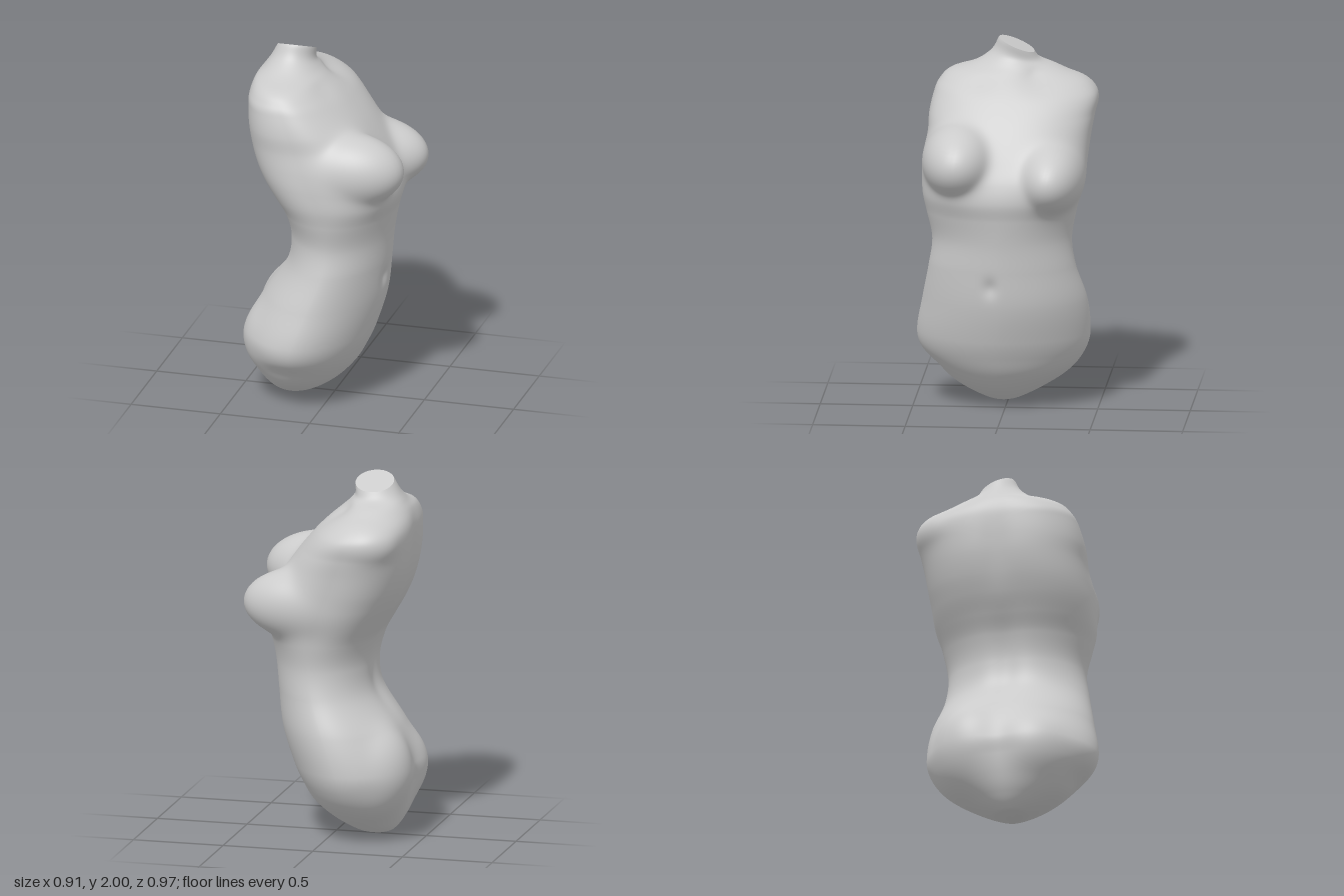
import * as THREE from 'three';

// Torso cross-sections: height, back x, front x, right-hand z, left-hand z
const SECTIONS = [
  [0, -0.25, -0.19, 0.04, 0.0],
  [0.02, -0.31, -0.11, 0.12, -0.07],
  [0.1, -0.375, 0.02, 0.26, -0.21],
  [0.2, -0.42, 0.12, 0.375, -0.345],
  [0.3, -0.445, 0.18, 0.46, -0.42],
  [0.4, -0.45, 0.225, 0.485, -0.45],
  [0.6, -0.365, 0.285, 0.45, -0.44],
  [0.8, -0.24, 0.31, 0.41, -0.385],
  [0.95, -0.22, 0.325, 0.39, -0.365],
  [1.1, -0.25, 0.35, 0.42, -0.385],
  [1.2, -0.30, 0.37, 0.44, -0.40],
  [1.3, -0.355, 0.35, 0.44, -0.42],
  [1.4, -0.40, 0.30, 0.43, -0.44],
  [1.5, -0.43, 0.24, 0.42, -0.455],
  [1.6, -0.445, 0.17, 0.42, -0.47],
  [1.7, -0.45, 0.085, 0.40, -0.475],
  [1.76, -0.445, 0.025, 0.375, -0.42],
  [1.82, -0.425, -0.045, 0.31, -0.31],
  [1.86, -0.395, -0.09, 0.17, -0.23],
  [1.9, -0.365, -0.12, 0.09, -0.18],
  [1.96, -0.33, -0.12, 0.05, -0.14],
];

// Rounded masses: the surface inside each ellipsoid swells out to meet it
const BULGES = [
  { c: [0.13, 1.395, 0.24], r: [0.32, 0.2, 0.195], k: 7 }, // right breast
  { c: [0.13, 1.31, -0.26], r: [0.315, 0.19, 0.175], k: 7 }, // left breast
  { c: [-0.25, 0.36, 0.16], r: [0.20, 0.2, 0.2], k: 8 }, // right buttock
  { c: [-0.25, 0.40, -0.17], r: [0.20, 0.24, 0.2], k: 8 }, // left buttock
  { c: [-0.24, 1.68, -0.34], r: [0.16, 0.11, 0.13], k: 7 }, // left shoulder
];

// Hollows: centre, reach and depth
const DENTS = [
  { c: [0.31, 0.72, 0.06], r: [0.1, 0.05, 0.04], d: 0.015 }, // navel
  { c: [-0.46, 0.32, 0], r: [0.15, 0.2, 0.09], d: 0.02 }, // buttock cleft
  { c: [-0.24, 0.95, 0], r: [0.12, 0.35, 0.08], d: 0.02 }, // lower spine
  { c: [-0.43, 1.5, -0.02], r: [0.12, 0.25, 0.08], d: 0.015 }, // upper spine
  { c: [-0.08, 1.79, -0.18], r: [0.1, 0.07, 0.09], d: 0.04 }, // left collar
  { c: [-0.05, 1.78, 0.14], r: [0.1, 0.08, 0.1], d: 0.015 }, // right collar
  { c: [-0.17, 0.22, 0.4], r: [0.14, 0.07, 0.12], d: 0.015 }, // thigh cut
];

const AROUND = 200;
const ROWS = 260;

// Smooth interpolation of the section table at height y
function sectionAt(y) {
  const S = SECTIONS, n = S.length;
  let i = 0;
  while (i < n - 2 && y > S[i + 1][0]) i++;
  const h = S[i + 1][0] - S[i][0], t = (y - S[i][0]) / h;
  const slope = (a, b, k) => (S[b][k] - S[a][k]) / (S[b][0] - S[a][0]);
  return [1, 2, 3, 4].map((k) => {
    const tangent = (j) => slope(Math.max(j - 1, 0), Math.min(j + 1, n - 1), k);
    const t2 = t * t, t3 = t2 * t;
    return S[i][k] * (2 * t3 - 3 * t2 + 1) + S[i + 1][k] * (3 * t2 - 2 * t3)
      + h * (tangent(i) * (t3 - 2 * t2 + t) + tangent(i + 1) * (t3 - t2));
  });
}

const power = (v, e) => Math.sign(v) * Math.pow(Math.abs(v), e);

function surfacePoint(y, angle) {
  const [back, front, right, left] = sectionAt(y);
  const cx = (back + front) / 2, cz = (right + left) / 2;
  // Squarer across the chest and shoulder blades, slimmer at the front of the hips
  const { smoothstep } = THREE.MathUtils;
  const chest = smoothstep(y, 0.95, 1.4) * (1 - smoothstep(y, 1.72, 1.86));
  const waist = 1 - smoothstep(y, 0.95, 1.3);
  const e = 2 / (Math.cos(angle) > 0 ? 2 + 0.2 * chest - 0.2 * waist : 2 + 0.65 * chest);
  const p = new THREE.Vector3(
    cx + (front - back) / 2 * power(Math.cos(angle), e), y,
    cz + (right - left) / 2 * power(Math.sin(angle), e));

  for (const { c, r, k } of BULGES) {
    const q = new THREE.Vector3((p.x - c[0]) / r[0], (p.y - c[1]) / r[1], (p.z - c[2]) / r[2]);
    const d = q.length();
    if (d > 2.5 || d < 1e-4) continue;
    q.multiplyScalar(Math.pow(Math.pow(d, k) + 1, 1 / k) / d);
    p.set(c[0] + q.x * r[0], c[1] + q.y * r[1], c[2] + q.z * r[2]);
  }
  for (const { c, r, d } of DENTS) {
    const g = ((p.x - c[0]) / r[0]) ** 2 + ((p.y - c[1]) / r[1]) ** 2 + ((p.z - c[2]) / r[2]) ** 2;
    const inward = new THREE.Vector3(cx - p.x, 0, cz - p.z).normalize();
    p.addScaledVector(inward, d * Math.exp(-g));
  }
  // The neck is cut on a slant
  p.y += smoothstep(y, 1.84, 1.96) * (p.z + 0.045) * 0.42;
  return p;
}

function indexedGeometry(positions, indices) {
  const g = new THREE.BufferGeometry();
  g.setAttribute('position', new THREE.Float32BufferAttribute(positions, 3));
  g.setIndex(indices);
  g.computeVertexNormals();
  return g;
}

export function createModel() {
  const group = new THREE.Group();
  group.name = 'torsoSculpture';
  const stone = new THREE.MeshStandardMaterial({ color: 0xcccccc });
  const add = (name, geometry) => {
    const mesh = new THREE.Mesh(geometry, stone);
    mesh.name = name;
    group.add(mesh);
  };

  // Body skin, rings packed closer toward the rounded base
  const pos = [], idx = [];
  for (let i = 0; i <= ROWS; i++) {
    const y = 1.96 * Math.pow(i / ROWS, 1.15);
    for (let j = 0; j < AROUND; j++) {
      pos.push(...surfacePoint(y, (j / AROUND) * Math.PI * 2).toArray());
      if (i === ROWS) continue;
      const a = i * AROUND + j, b = i * AROUND + (j + 1) % AROUND;
      idx.push(a, a + AROUND, b, b, a + AROUND, b + AROUND);
    }
  }
  add('torso', indexedGeometry(pos, idx));

  // Flat caps closing the neck and the base
  const cap = (name, ring, up) => {
    const centre = [0, 1, 2].map((k) => ring.reduce((s, v, n) => s + (n % 3 === k ? v : 0), 0) / AROUND);
    const tris = [];
    for (let j = 0; j < AROUND; j++) {
      const n = (j + 1) % AROUND;
      tris.push(AROUND, up ? n : j, up ? j : n);
    }
    add(name, indexedGeometry([...ring, ...centre], tris));
  };
  cap('neckCut', pos.slice(-AROUND * 3), true);
  cap('base', pos.slice(0, AROUND * 3), false);
  return group;
}
